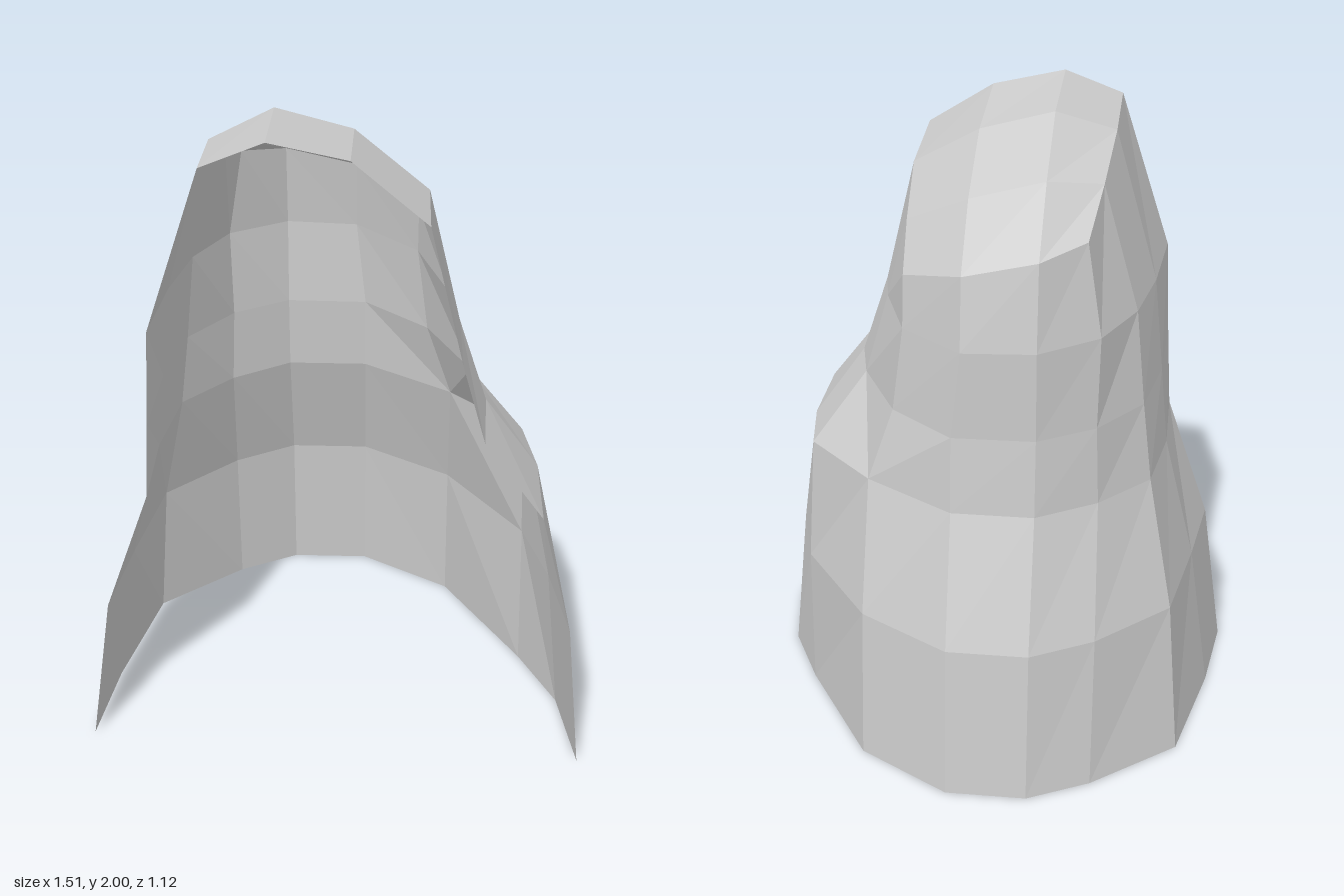
import * as THREE from 'three';

const cloth = new THREE.MeshStandardMaterial({ color: 0xcccccc, flatShading: true, side: THREE.DoubleSide });
cloth.name = 'grey cloth';

// One horizontal ring of the open shell: [x, z] pairs from the right front edge,
// round the back, to the left front edge. Height runs from yRight to yLeft.
const ring = (yRight, yLeft, pairs) =>
  pairs.map(([x, z], i) => [x, yRight + (yLeft - yRight) * i / (pairs.length - 1), z]);

// Join neighbouring rows of points into faceted quads; flip(row, col) turns the diagonal
function sheet(name, rows, flip = () => false) {
  const pos = [];
  for (let r = 0; r < rows.length - 1; r++) {
    for (let i = 0; i < rows[r].length - 1; i++) {
      const a = rows[r][i], b = rows[r][i + 1], c = rows[r + 1][i + 1], d = rows[r + 1][i];
      const tris = flip(r, i) ? [a, d, c, a, c, b] : [a, d, b, d, c, b];
      tris.forEach((p) => pos.push(...p));
    }
  }
  const geo = new THREE.BufferGeometry();
  geo.setAttribute('position', new THREE.Float32BufferAttribute(pos, 3));
  geo.computeVertexNormals();
  const mesh = new THREE.Mesh(geo, cloth);
  mesh.name = name;
  return mesh;
}

export function createModel() {
  const group = new THREE.Group();
  group.name = 'hoodedCape';

  // Rings from the hem up to the neck
  const hem = ring(0, 0, [[-0.76, 0.46], [-0.72, 0.16], [-0.63, -0.24], [-0.37, -0.46], [-0.18, -0.56],
    [0.07, -0.56], [0.36, -0.38], [0.6, 0.02], [0.71, 0.25], [0.755, 0.545]]);
  const waist = ring(0.49, 0.49, [[-0.69, 0.46], [-0.65, 0.16], [-0.59, -0.19], [-0.37, -0.41], [-0.18, -0.52],
    [0.07, -0.52], [0.355, -0.34], [0.59, 0], [0.66, 0.25], [0.705, 0.545]]);
  const shoulder = ring(0.89, 0.89, [[-0.55, 0.465], [-0.55, 0.17], [-0.51, -0.1], [-0.36, -0.27], [-0.18, -0.385],
    [0.07, -0.385], [0.35, -0.2], [0.57, 0.03], [0.605, 0.25], [0.605, 0.55]]);
  const neck = ring(1.14, 1.12, [[-0.535, 0.48], [-0.525, 0.18], [-0.48, -0.08], [-0.35, -0.26], [-0.18, -0.365],
    [0.07, -0.365], [0.27, -0.19], [0.4, 0.08], [0.44, 0.26], [0.43, 0.525]]);
  const cheek = ring(1.44, 1.37, [[-0.52, 0.49], [-0.495, 0.19], [-0.45, -0.05], [-0.355, -0.25], [-0.18, -0.37],
    [0.04, -0.37], [0.235, -0.19], [0.325, 0.08], [0.355, 0.25], [0.36, 0.53]]);

  // Hood crown: rows from the back of the head forward to the brow
  const crown = [
    [[-0.31, 1.7, -0.23], [-0.18, 1.67, -0.335], [0.04, 1.62, -0.335], [0.235, 1.55, -0.16]],
    [[-0.34, 1.81, -0.04], [-0.18, 1.84, -0.13], [0.045, 1.78, -0.13], [0.245, 1.67, -0.01]],
    [[-0.36, 1.9, 0.2], [-0.18, 1.97, 0.13], [0.045, 1.91, 0.13], [0.26, 1.77, 0.23]],
    [[-0.36, 1.93, 0.495], [-0.18, 2, 0.485], [0.045, 1.95, 0.48], [0.26, 1.8, 0.56]],
  ];
  // The upper walls meet the crown along its sides and back
  const rim = [crown[3][0], crown[2][0], crown[1][0], ...crown[0], crown[1][3], crown[2][3], crown[3][3]];

  group.add(
    sheet('capeSkirt', [hem, waist, shoulder]),
    sheet('hoodWalls', [shoulder, neck, cheek, rim], (r, i) => r === 0 && i === 6),
    sheet('hoodCrown', crown),
  );
  return group;
}
